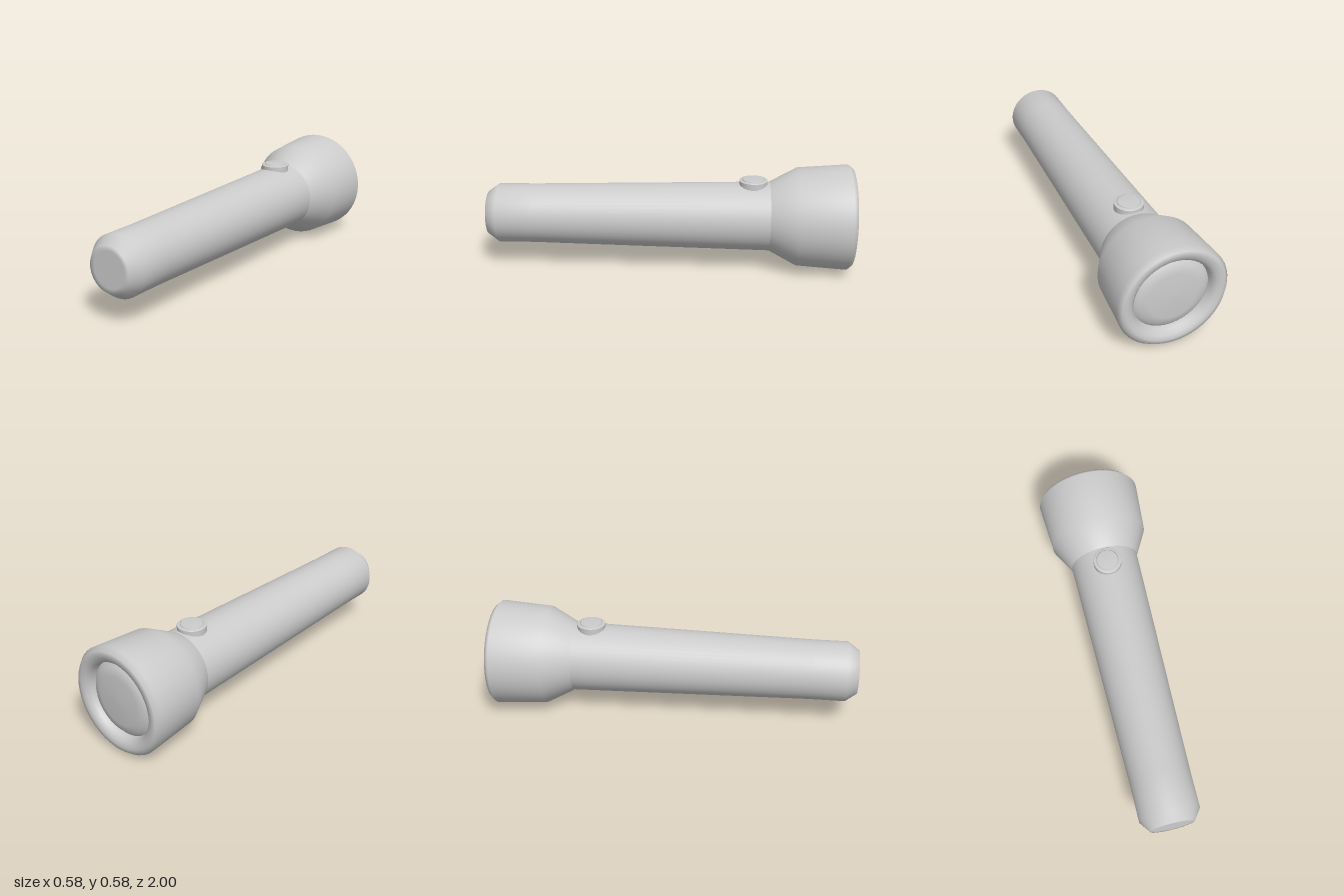
import * as THREE from 'three';

const AXIS_Y = 0.29;
const material = new THREE.MeshStandardMaterial({ color: 0xcccccc, side: THREE.DoubleSide });

// Smooth turned part from [radius, height] pairs, listed upward along its axis.
function turned(name, profile, segments = 48) {
  const points = profile.map(([r, h]) => new THREE.Vector2(r, h));
  const mesh = new THREE.Mesh(new THREE.LatheGeometry(points, segments), material);
  mesh.name = name;
  return mesh;
}

export function createModel() {
  const group = new THREE.Group();
  group.name = 'flashlight';

  // Parts turned about the long axis: local height becomes z
  const barrel = new THREE.Group();
  barrel.name = 'barrel';
  barrel.rotation.x = Math.PI / 2;
  barrel.position.y = AXIS_Y;
  group.add(barrel);

  // Tapered handle with a bevelled, closed tail
  barrel.add(turned('handle', [
    [0.19, -0.58], [0.19, -0.55], [0.163, 0.75], [0.163, 0.94], [0.12, 1], [0.095, 1], [0, 1],
  ]));

  // Flared head with a rounded rim turning inward to the lens
  barrel.add(turned('head', [
    [0.2, -0.94], [0.205, -0.975], [0.225, -0.995], [0.25, -1], [0.27, -0.999],
    [0.29, -0.975], [0.27, -0.7], [0.19, -0.55],
  ]));

  // Slightly domed lens, recessed behind the rim
  barrel.add(turned('lens', [
    [0, -0.982], [0.13, -0.979], [0.175, -0.968], [0.202, -0.945],
  ]));

  // Switch on top of the handle
  const powerSwitch = new THREE.Group();
  powerSwitch.name = 'switch';
  powerSwitch.position.set(0, 0.5, -0.46);
  powerSwitch.add(
    turned('switchCollar', [[0.077, -0.06], [0.077, -0.004]], 32),
    turned('switchCollarTop', [[0.077, -0.004], [0.073, 0], [0.058, 0]], 32),
    turned('switchButton', [[0.061, -0.01], [0.061, 0.002], [0.056, 0.005], [0, 0.006]], 32),
  );
  group.add(powerSwitch);

  return group;
}
